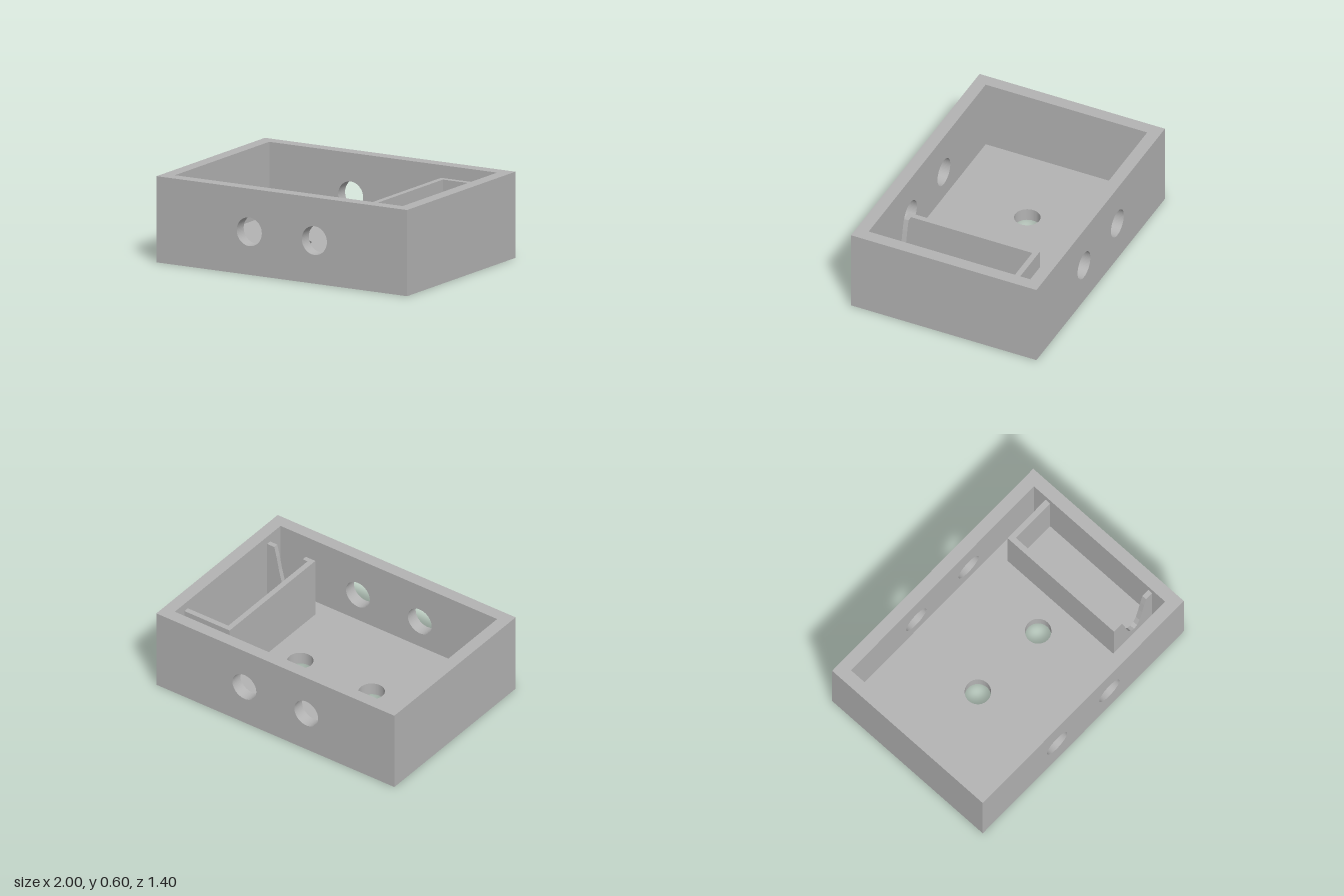
import * as THREE from 'three';

const W = 2, H = 0.6, D = 1.4, T = 0.09; // outer size and wall thickness
const TOP = 0.54;                        // top of the inner compartment

export function createModel() {
  const model = new THREE.Group();
  model.name = 'enclosure';
  const grey = new THREE.MeshStandardMaterial({ color: 0xb3b3b3 });
  grey.name = 'grey plastic';

  const add = (name, geometry) => {
    const mesh = new THREE.Mesh(geometry, grey);
    mesh.name = name;
    model.add(mesh);
    return mesh;
  };

  // Box given by its minimum and maximum corners
  const block = (name, x0, x1, y0, y1, z0, z1) => {
    const mesh = add(name, new THREE.BoxGeometry(x1 - x0, y1 - y0, z1 - z0));
    mesh.position.set((x0 + x1) / 2, (y0 + y1) / 2, (z0 + z1) / 2);
  };

  const extrude = (shape, depth) =>
    new THREE.ExtrudeGeometry(shape, { depth, bevelEnabled: false, curveSegments: 32 });

  // Rectangular plate with a mirrored pair of round holes
  const drilledPlate = (x, y0, y1, holeX, holeY, radius) => {
    const shape = new THREE.Shape([
      new THREE.Vector2(-x, y0), new THREE.Vector2(x, y0),
      new THREE.Vector2(x, y1), new THREE.Vector2(-x, y1),
    ]);
    for (const side of [-1, 1]) {
      shape.holes.push(new THREE.Path().absarc(side * holeX, holeY, radius, 0, Math.PI * 2, true));
    }
    return extrude(shape, T);
  };

  // Front and back walls with cable holes
  add('frontWall', drilledPlate(W / 2, 0, H, 0.26, 0.3, 0.1)).position.z = D / 2 - T;
  add('backWall', drilledPlate(W / 2, 0, H, 0.26, 0.3, 0.1)).position.z = -D / 2;

  // Side walls
  const inX = W / 2 - T, inZ = D / 2 - T;
  block('leftWall', inX, W / 2, 0, H, -inZ, inZ);
  block('rightWall', -W / 2, -inX, 0, H, -inZ, inZ);

  // Floor with two holes
  const floor = add('floor', drilledPlate(inX, -inZ, inZ, 0.3, 0, 0.09));
  floor.rotation.x = -Math.PI / 2;

  // Inner compartment: long partition and back arm
  block('partition', 0.53, 0.57, T, TOP, -0.5, 0.49);
  block('partitionBack', 0.57, inX, T, TOP, -0.5, -0.46);

  // Front arm with a tapered, round-bottomed notch
  const cx = 0.73;
  const half = [[0.12, TOP], [0.1, 0.46], [0.08, 0.36], [0.055, 0.26], [0.03, 0.21]];
  const arm = new THREE.Shape();
  arm.moveTo(0.57, T);
  arm.lineTo(inX, T);
  arm.lineTo(inX, TOP);
  half.forEach(([x, y]) => arm.lineTo(cx + x, y));
  arm.lineTo(cx, 0.195);
  [...half].reverse().forEach(([x, y]) => arm.lineTo(cx - x, y));
  arm.lineTo(0.57, TOP);
  add('partitionFront', extrude(arm, 0.035)).position.z = 0.455;

  return model;
}
